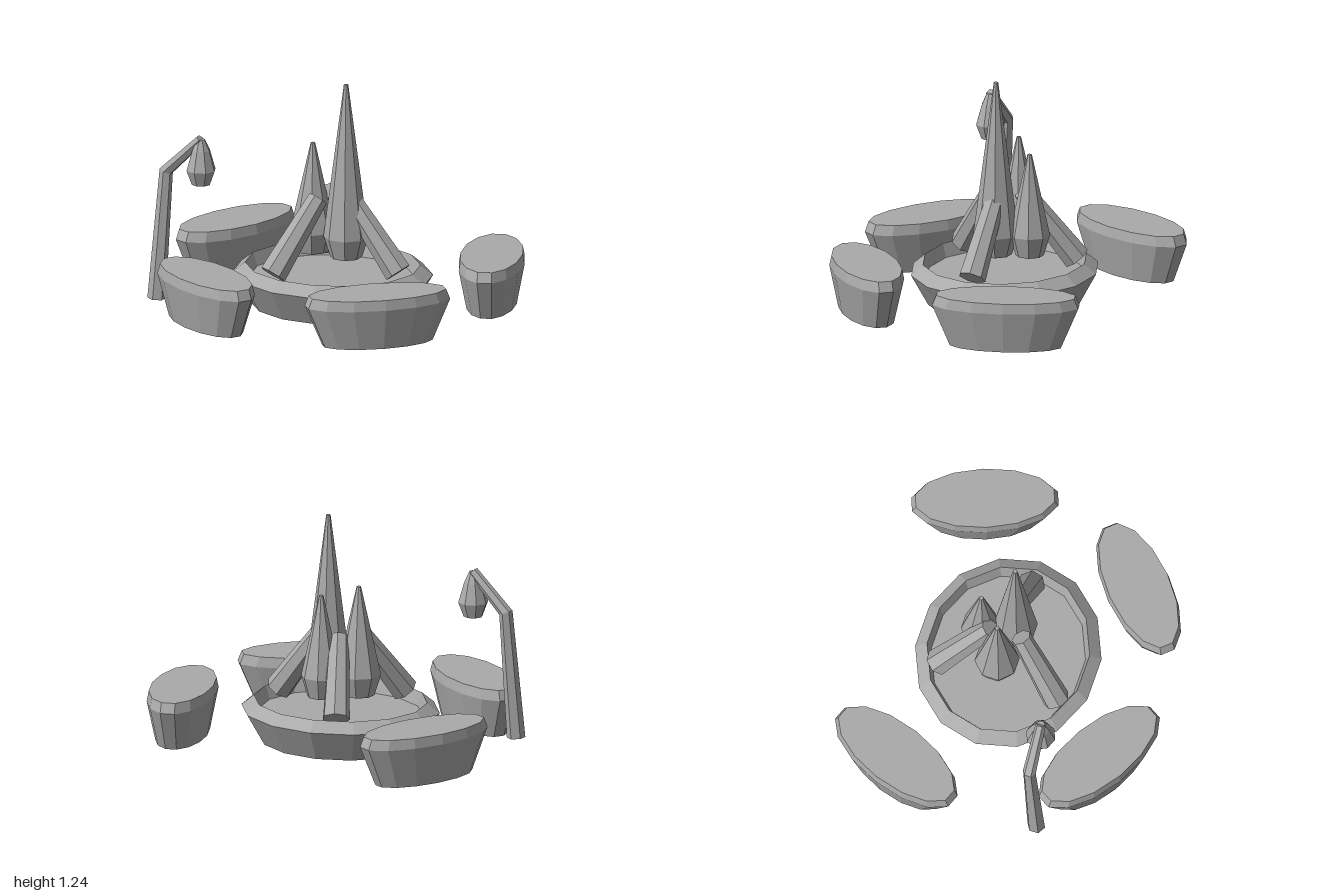
import * as THREE from 'three';

const rad = THREE.MathUtils.degToRad;

export function createModel() {
  const group = new THREE.Group();
  const stone = new THREE.MeshStandardMaterial({ color: 0xaaaaaa, flatShading: true, side: THREE.DoubleSide });
  stone.name = 'plain grey';

  const add = (name, geometry, x = 0, y = 0, z = 0) => {
    const mesh = new THREE.Mesh(geometry, stone);
    mesh.name = name;
    mesh.position.set(x, y, z);
    group.add(mesh);
    return mesh;
  };
  // faceted solid of revolution from [radius, height] pairs
  const lathe = (profile, sides, start = 0) =>
    new THREE.LatheGeometry(profile.map(([r, y]) => new THREE.Vector2(r, y)), sides, start);

  // fire pit: hollow below, bevelled rim, raised floor
  const pit = add('firePit', lathe(
    [[0.45, 0], [0.55, 0.17], [0.48, 0.225], [0.455, 0.15], [0, 0.15]], 14, Math.PI / 2), 0.005, 0, -0.08);
  pit.scale.z = 0.91;

  // four oval seats, open underneath
  const seatGeometry = lathe([[0.76, 0], [1, 0.225], [0.945, 0.28], [0, 0.28]], 14);
  const seats = [
    ['frontLeftSeat', 0.555, 0.475, 42],
    ['frontRightSeat', -0.425, 0.58, -31],
    ['backLeftSeat', 0.767, -0.468, -69],
    ['backRightSeat', -0.773, -0.455, 69],
  ];
  for (const [name, x, z, angle] of seats) {
    const seat = add(name, seatGeometry, x, 0, z);
    seat.scale.set(0.405, 1, 0.178);
    seat.rotation.y = rad(angle);
  }

  // flames: tall spikes tapering to a narrower foot
  const flames = [
    ['tallFlame', 0.09, -0.07, 1.24, 0.122],
    ['sideFlame', -0.125, -0.1, 0.88, 0.122],
    ['backFlame', 0.025, -0.24, 0.84, 0.11],
  ];
  for (const [name, x, z, top, r] of flames) {
    add(name, lathe([[0, 0.275], [r * 0.7, 0.275], [r, 0.39], [0.012, top], [0, top]], 8, Math.PI / 8), x, 0, z);
  }

  // three logs leaning together
  const up = new THREE.Vector3(0, 1, 0);
  for (let i = 0; i < 3; i++) {
    const a = rad(i * 120);
    const at = (r, y) => new THREE.Vector3(0.01 + r * Math.cos(a), y, -0.08 + r * Math.sin(a));
    const foot = at(0.39, 0.225), tip = at(0.1, 0.605);
    const middle = foot.clone().add(tip).multiplyScalar(0.5);
    const log = add('log' + (i + 1),
      new THREE.CylinderGeometry(0.055, 0.075, foot.distanceTo(tip), 7), middle.x, middle.y, middle.z);
    log.quaternion.setFromUnitVectors(up, tip.sub(foot).normalize());
  }

  // lamp post: a six-sided bar bent near the top, rings listed from tip to foot
  const rings = [
    { c: [-0.595, 0.94, 0.305], r: 0.028, tilt: -45, stretch: 1 },
    { c: [-0.802, 0.74, 0.31], r: 0.036, tilt: -22, stretch: 1.06 },
    { c: [-0.835, 0.035, 0.36], r: 0.05, tilt: -3, stretch: 1 },
  ];
  const post = new THREE.CylinderGeometry(1, 1, 1, 6, 2);
  const p = post.attributes.position;
  for (let i = 0; i < p.count; i++) {
    const { c, r, tilt, stretch } = rings[Math.round((0.5 - p.getY(i)) * 2)];
    const x = p.getX(i) * r * stretch, t = rad(tilt);
    p.setXYZ(i, c[0] + x * Math.cos(t), c[1] + x * Math.sin(t), c[2] + p.getZ(i) * r);
  }
  post.computeVertexNormals();
  add('lampPost', post);

  // hanging lantern
  add('lantern', lathe(
    [[0, 0.69], [0.052, 0.69], [0.082, 0.77], [0.05, 0.88], [0.022, 0.94], [0, 0.94]], 8), -0.595, 0, 0.305);

  return group;
}
